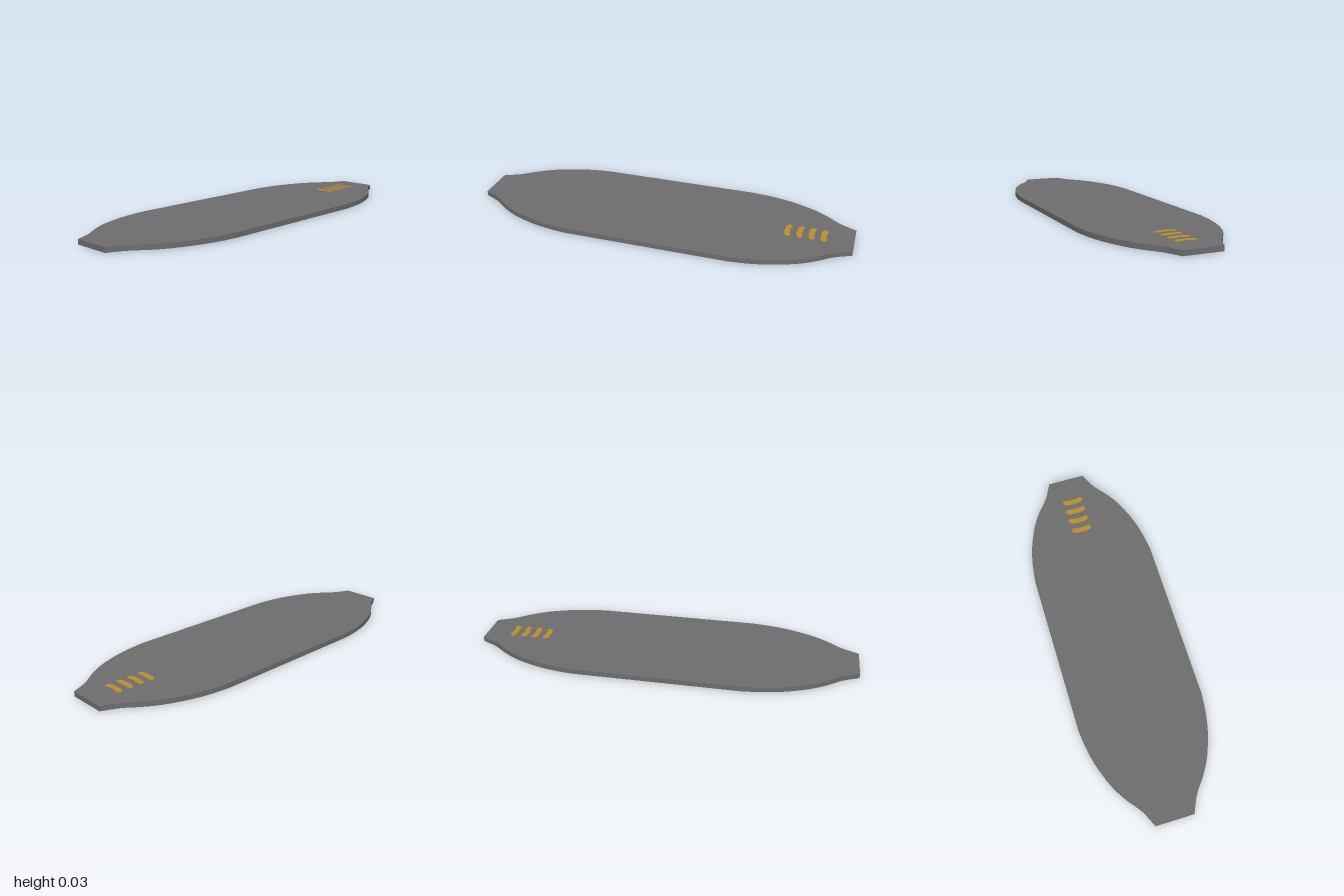
import * as THREE from 'three';
import { toCreasedNormals } from 'three/addons/utils/BufferGeometryUtils.js';

const HEIGHT = 0.028;
const INLAY = 0.001; // how far the marks stand proud of the deck

// Extrude a plan shape (x, -z) upward from y = 0
function slab(shape, height) {
  const geo = new THREE.ExtrudeGeometry(shape, { depth: height, bevelEnabled: false, curveSegments: 10 });
  geo.rotateX(-Math.PI / 2);
  return geo;
}

// Board outline: one corner curve, mirrored to all four corners
function boardShape() {
  const corner = new THREE.SplineCurve([
    [0.332, 0.43], [0.32, 0.53], [0.296, 0.635], [0.25, 0.755],
    [0.2, 0.838], [0.155, 0.895], [0.13, 0.935], [0.1, 1],
  ].map(([x, y]) => new THREE.Vector2(x, y))).getPoints(21);
  const mirror = (pts, sx, sy) => pts.map((p) => new THREE.Vector2(p.x * sx, p.y * sy));
  const back = [...corner].reverse();
  return new THREE.Shape([
    ...corner,
    ...mirror(back, -1, 1),
    ...mirror(corner, -1, -1),
    ...mirror(back, 1, -1),
  ]);
}

// Shallow curved bar with pointed ends
function markShape() {
  const s = new THREE.Shape();
  s.moveTo(-0.058, 0.002);
  s.lineTo(-0.046, 0.017);
  s.quadraticCurveTo(0, 0.004, 0.046, 0.017);
  s.lineTo(0.058, 0.002);
  s.lineTo(0.046, -0.014);
  s.quadraticCurveTo(0, -0.023, -0.046, -0.014);
  s.closePath();
  return s;
}

export function createModel() {
  const group = new THREE.Group();
  group.name = 'board';
  const grey = new THREE.MeshStandardMaterial({ color: 0x6e6e6e });
  grey.name = 'deck grey';
  const gold = new THREE.MeshStandardMaterial({ color: 0xbd8e2e });
  gold.name = 'mark gold';

  // Deck, smooth along the curved sides and sharp at the rims
  const deck = new THREE.Mesh(toCreasedNormals(slab(boardShape(), HEIGHT - 2 * INLAY), 0.5), grey);
  deck.name = 'deck';
  deck.position.y = INLAY;
  group.add(deck);

  // Four marks near the back end, on the top and underside
  const markGeo = slab(markShape(), 2 * INLAY);
  [-0.852, -0.791, -0.73, -0.668].forEach((z, i) => {
    for (const [side, y] of [['top', HEIGHT - 2 * INLAY], ['bottom', 0]]) {
      const mark = new THREE.Mesh(markGeo, gold);
      mark.name = `${side}Mark${i + 1}`;
      mark.position.set(0, y, z);
      group.add(mark);
    }
  });
  return group;
}
